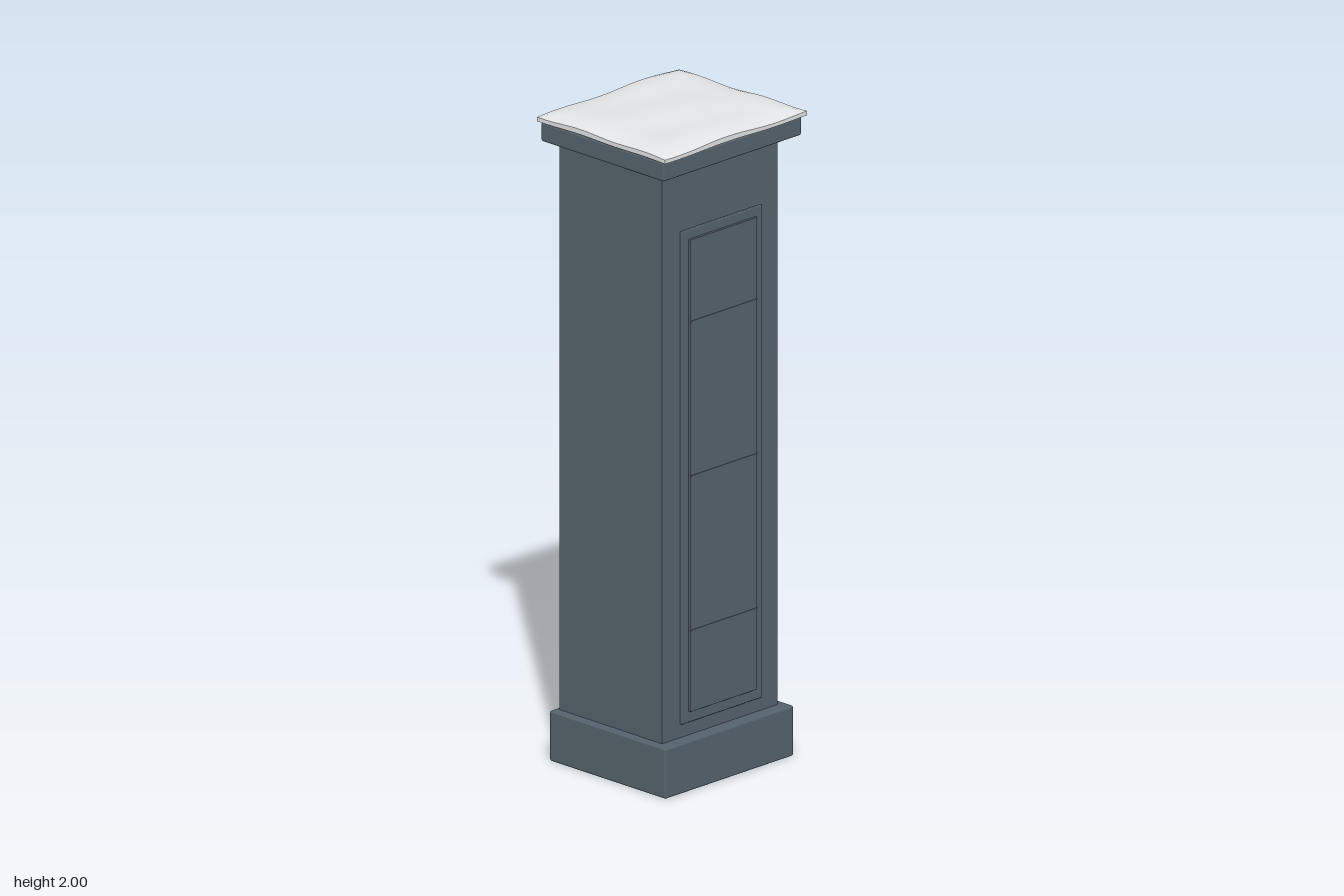
import * as THREE from 'three';
import { toCreasedNormals } from 'three/addons/utils/BufferGeometryUtils.js';
import { RoundedBoxGeometry } from 'three/addons/geometries/RoundedBoxGeometry.js';

const slate = new THREE.MeshStandardMaterial({ color: 0x56626c });
slate.name = 'slatePaint';
const white = new THREE.MeshStandardMaterial({ color: 0xe2e4e5 });
white.name = 'snowWhite';

// Box given by its limits on each axis, with an optional small rounded edge
function block(name, [x0, x1], [y0, y1], [z0, z1], radius = 0) {
  const size = [x1 - x0, y1 - y0, z1 - z0];
  const geometry = radius
    ? new RoundedBoxGeometry(...size, 2, radius)
    : new THREE.BoxGeometry(...size);
  const mesh = new THREE.Mesh(geometry, slate);
  mesh.name = name;
  mesh.position.set((x0 + x1) / 2, (y0 + y1) / 2, (z0 + z1) / 2);
  return mesh;
}

// Soft pillow of snow: low rim, rounded shoulders and gentle waves
function snowLayer() {
  const hx = 0.292, hz = 0.26;
  const geometry = new THREE.BoxGeometry(hx * 2, 0.02, hz * 2, 28, 1, 26);
  const p = geometry.attributes.position;
  for (let i = 0; i < p.count; i++) {
    const x = p.getX(i), z = p.getZ(i);
    const wave = 0.0035 * Math.sin(x * 17 + z * 6 + 0.6) + 0.0025 * Math.cos(z * 23 - x * 7);
    if (p.getY(i) > 0) {
      const edge = Math.max(0, Math.min(hx - Math.abs(x), hz - Math.abs(z)));
      const t = Math.min(1, edge / 0.09);
      const shoulder = 1 - (1 - t) * (1 - t);
      p.setY(i, 1.979 + 0.016 * shoulder + wave * (1 - 0.3 * shoulder));
    } else {
      p.setY(i, 1.966 + wave * 0.5);
    }
  }
  const mesh = new THREE.Mesh(toCreasedNormals(geometry, 0.8), white);
  mesh.name = 'snowLayer';
  return mesh;
}

export function createModel() {
  const model = new THREE.Group();
  model.name = 'pillar';

  // Pillar body
  model.add(
    block('base', [-0.267, 0.262], [0, 0.154], [-0.235, 0.237], 0.006),
    block('shaft', [-0.24, 0.234], [0.1, 1.93], [-0.22, 0.197]),
    block('cap', [-0.287, 0.281], [1.906, 1.964], [-0.25, 0.25], 0.006)
  );

  // Stepped front panel
  const panel = new THREE.Group();
  panel.name = 'frontPanel';
  panel.add(
    block('panelFrame', [-0.167, 0.164], [0.196, 1.71], [0.18, 0.206], 0.003),
    block('panelInset', [-0.14, 0.135], [0.23, 1.682], [0.18, 0.214], 0.002)
  );
  // Fine cross seams
  for (const y of [0.48, 0.955, 1.43]) {
    panel.add(block('panelSeam', [-0.138, 0.133], [y - 0.002, y + 0.002], [0.21, 0.216]));
  }
  model.add(panel, snowLayer());
  return model;
}
